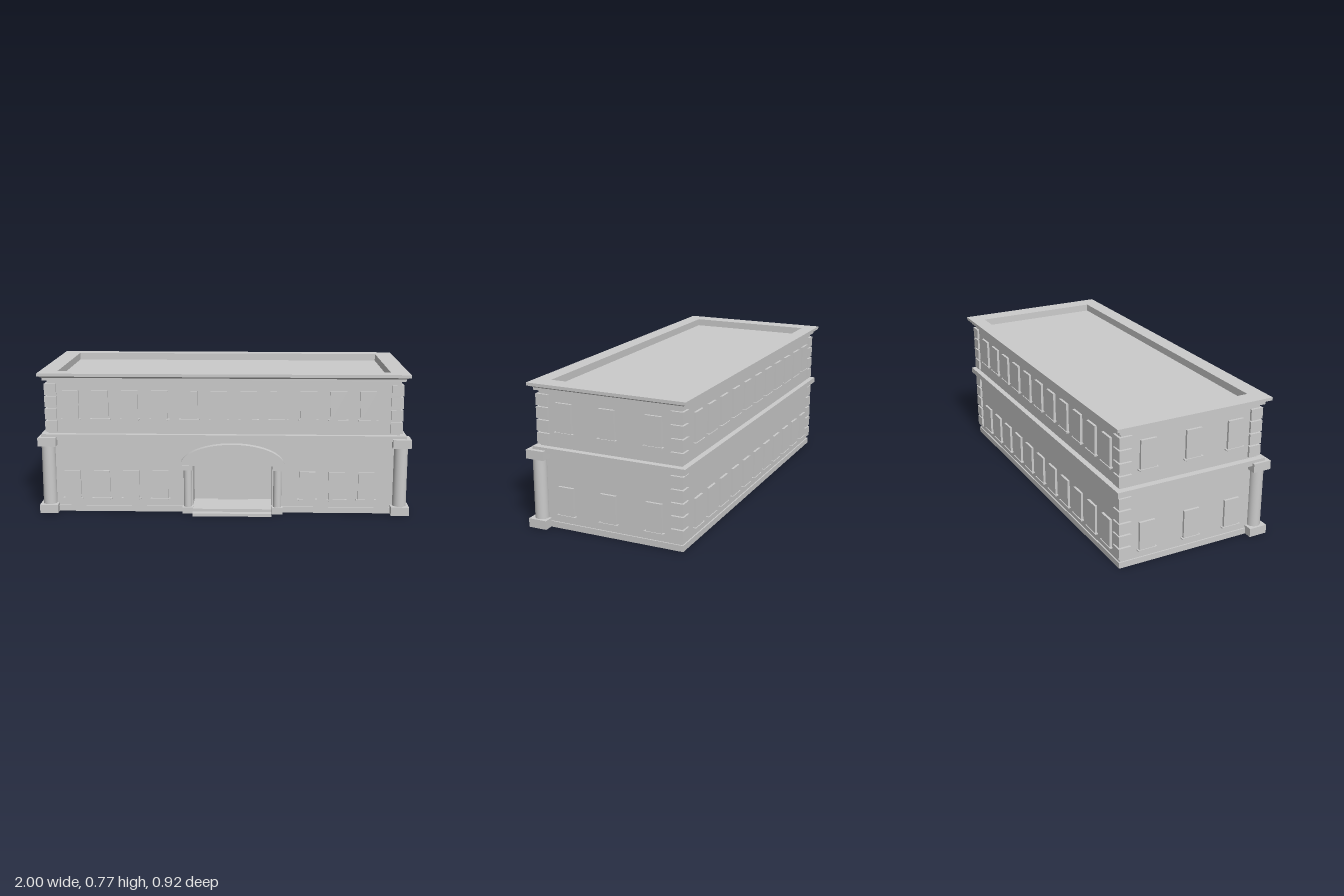
import * as THREE from 'three';

const mat = new THREE.MeshStandardMaterial({ color: 0xcccccc });

// Main wall limits
const X0 = -0.95, X1 = 0.943, Z0 = -0.42, Z1 = 0.373;
const XC = (X0 + X1) / 2;

export function createModel() {
  const model = new THREE.Group();
  model.name = 'building';

  const add = (name, geometry, parent = model) => {
    const mesh = new THREE.Mesh(geometry, mat);
    mesh.name = name;
    parent.add(mesh);
    return mesh;
  };
  // Box given by its limits on each axis
  const box = (name, x0, x1, y0, y1, z0, z1, parent) => {
    const g = new THREE.BoxGeometry(x1 - x0, y1 - y0, z1 - z0);
    g.translate((x0 + x1) / 2, (y0 + y1) / 2, (z0 + z1) / 2);
    return add(name, g, parent);
  };
  const group = (name) => {
    const g = new THREE.Group();
    g.name = name;
    model.add(g);
    return g;
  };
  // Floor plan of [x, z] points, raised from y0 to y1
  const plan = (points, y0, y1, hole) => {
    const toVec = ([x, z]) => new THREE.Vector2(x, -z);
    const shape = new THREE.Shape(points.map(toVec));
    if (hole) shape.holes.push(new THREE.Path(hole.map(toVec)));
    const g = new THREE.ExtrudeGeometry(shape, { depth: y1 - y0, bevelEnabled: false });
    return g.rotateX(-Math.PI / 2).translate(0, y0, 0);
  };
  const rect = (x0, x1, z0, z1) => [[x0, z1], [x1, z1], [x1, z0], [x0, z0]];

  // Walls, with the entrance niche cut into the ground floor
  const EL = -0.168, ER = 0.259, nicheTop = 0.267, nicheBack = 0.233;
  add('groundFloorWalls', plan([
    [X0, Z1], [EL, Z1], [EL, nicheBack], [ER, nicheBack], [ER, Z1], [X1, Z1], [X1, Z0], [X0, Z0],
  ], 0.01, nicheTop));
  box('upperWalls', X0, X1, nicheTop, 0.727, Z0, Z1);
  box('plinth', X0 - 0.007, X1 + 0.007, 0, 0.032, -0.427, 0.38);
  box('beltCourse', -0.985, 0.977, 0.405, 0.435, -0.45, 0.402);

  // Cornice: band, flared moulding and top slab around the sunken roof
  const cornice = group('cornice');
  const roofHole = rect(-0.898, 0.89, -0.38, 0.33);
  const band = rect(-0.972, 0.965, -0.437, 0.39);
  const slab = rect(-0.995, 0.988, -0.459, 0.415);
  add('corniceBand', plan(band, 0.727, 0.74, roofHole), cornice);
  const flare = plan(band, 0.74, 0.751, roofHole);
  const p = flare.attributes.position;
  for (let i = 0; i < p.count; i++) {
    const x = p.getX(i), z = p.getZ(i);
    if (p.getY(i) > 0.745 && Math.abs(x) > 0.93) {
      p.setX(i, x + Math.sign(x) * 0.018);
      p.setZ(i, z + Math.sign(z) * 0.018);
    }
  }
  flare.computeVertexNormals();
  add('corniceMoulding', flare, cornice);
  add('corniceSlab', plan(slab, 0.751, 0.767, roofHole), cornice);

  // Windows: raised panel with a thin sill, placed on a wall and turned to face outward
  const windows = group('windows');
  const addWindow = (x, y, z, turn) => {
    const w = new THREE.Group();
    w.name = 'window';
    box('windowPanel', -0.044, 0.044, 0, 0.165, -0.01, 0.013, w);
    box('windowSill', -0.054, 0.054, 0.007, 0.013, -0.01, 0.018, w);
    w.position.set(x, y, z);
    w.rotation.y = turn;
    windows.add(w);
  };
  [0.065, 0.506].forEach((y, floor) => {
    for (let i = 0; i < 11; i++) {
      const x = -0.824 + i * 0.1595;
      if (floor === 1 || i < 4 || i > 7) addWindow(x, y, Z1, 0);
      addWindow(x, y, Z0, Math.PI);
    }
    for (const z of [0.227, -0.016, -0.271]) {
      addWindow(X1, y, z, Math.PI / 2);
      addWindow(X0, y, z, -Math.PI / 2);
    }
  });

  // Corner stones: both floors at the back, upper floor only at the front
  const quoins = group('cornerStones');
  const stack = (side, front, y0, count, pitch) => {
    const x = side < 0 ? X0 + 0.019 : X1 - 0.019;
    const z = front ? 0.3505 : -0.3975;
    for (let i = 0; i < count; i++) {
      const y = y0 + i * pitch;
      box('cornerStone', x - 0.032, x + 0.032, y, y + 0.059, z - 0.0345, z + 0.0345, quoins);
    }
  };
  for (const side of [-1, 1]) {
    stack(side, true, 0.445, 4, 0.0675);
    stack(side, false, 0.445, 4, 0.0675);
    stack(side, false, 0.053, 5, 0.0685);
  }

  // Large round columns at the front corners
  for (const side of [-1, 1]) {
    const col = group(side > 0 ? 'leftCornerColumn' : 'rightCornerColumn');
    const x = side * 0.951, z = 0.376;
    box('columnBase', x - 0.049, x + 0.049, 0, 0.047, z - 0.051, z + 0.051, col);
    box('columnCapital', x - 0.049, x + 0.049, 0.372, 0.42, z - 0.051, z + 0.051, col);
    add('columnShaft', new THREE.CylinderGeometry(0.037, 0.037, 0.325, 32), col)
      .position.set(x, 0.2095, z);
  }

  // Entrance: steps, door, small columns and arched hood
  const entrance = group('entrance');
  box('lowerStep', EL, ER, 0, 0.016, 0.3, 0.462, entrance);
  box('upperStep', EL, ER, 0, 0.032, 0.3, 0.427, entrance);
  box('door', -0.037, 0.131, 0.03, 0.23, nicheBack - 0.01, nicheBack + 0.013, entrance);
  for (const x of [-0.196, 0.29]) {
    const z = 0.385;
    box('entranceColumnBase', x - 0.029, x + 0.029, 0, 0.035, z - 0.03, z + 0.03, entrance);
    box('entranceColumnCapital', x - 0.029, x + 0.029, 0.242, 0.268, z - 0.03, z + 0.03, entrance);
    add('entranceColumnShaft', new THREE.CylinderGeometry(0.022, 0.022, 0.21, 24), entrance)
      .position.set(x, 0.139, z);
  }
  const arch = new THREE.Shape();
  arch.absellipse(0, 0, 0.281, 0.118, 0, Math.PI, false);
  const hood = new THREE.ExtrudeGeometry(arch, { depth: 0.06, bevelEnabled: false, curveSegments: 32 });
  add('archedHood', hood.translate(0.046, nicheTop, 0.351), entrance);

  return model;
}
